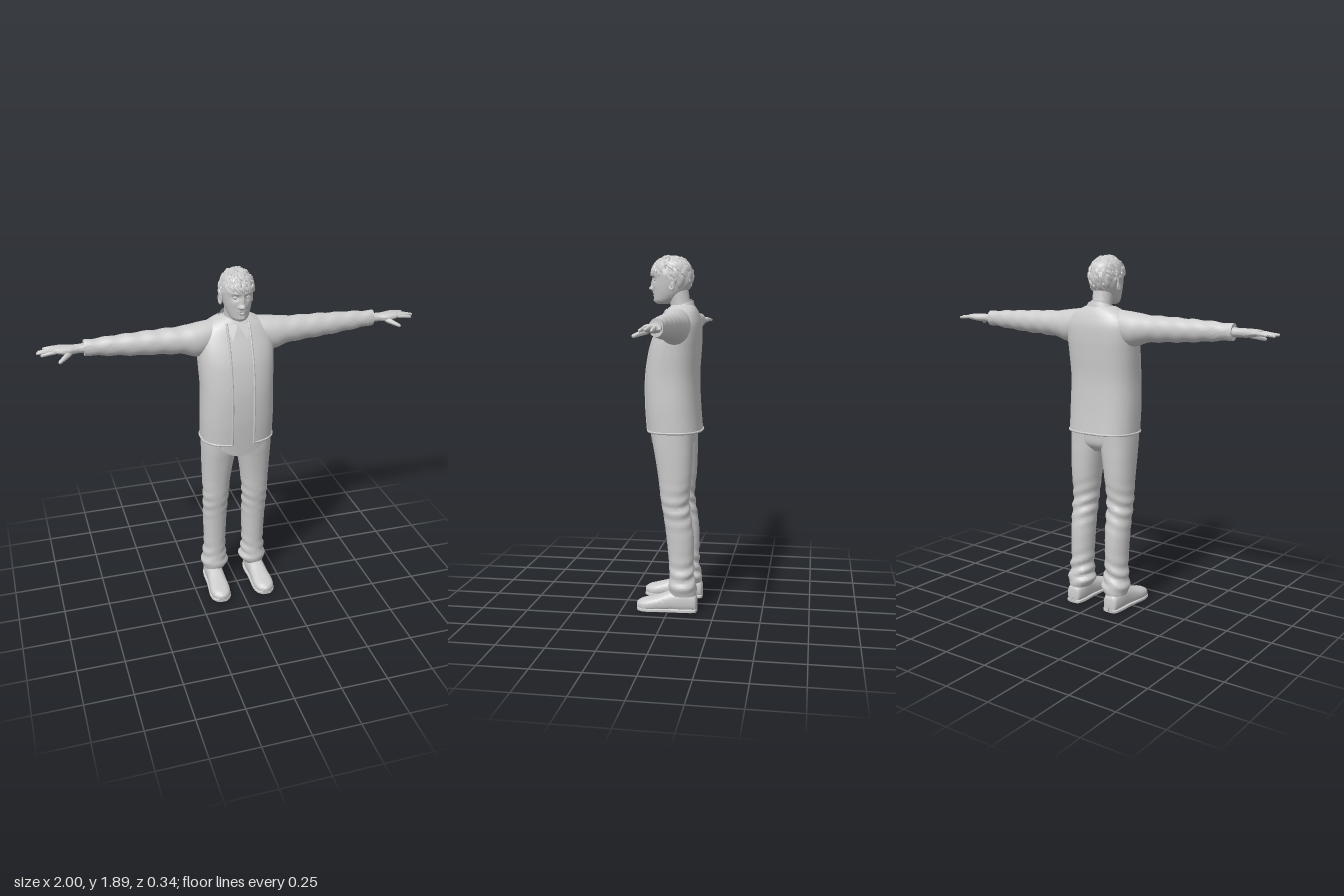
import * as THREE from 'three';
import { mergeVertices, toCreasedNormals } from 'three/addons/utils/BufferGeometryUtils.js';

const grey = new THREE.MeshStandardMaterial({ color: 0xcccccc, side: THREE.DoubleSide });
const bell = (d, s) => Math.exp(-(d * d) / (s * s));
const clamp = THREE.MathUtils.clamp;

// Smoothly interpolated cross-section: [height, centreX, centreZ, radiusX, radiusZ, squareness]
function sectionAt(secs, u) {
  const f = u * (secs.length - 1), i = Math.min(Math.floor(f), secs.length - 2), t = f - i;
  const at = k => secs[clamp(k, 0, secs.length - 1)];
  return secs[0].map((_, c) => {
    const a = at(i - 1)[c], b = at(i)[c], d = at(i + 1)[c], e = at(i + 2)[c];
    return b + 0.5 * t * (d - a + t * (2 * a - 5 * b + 4 * d - e + t * (3 * (b - d) + e - a)));
  });
}
const power = (v, n) => Math.sign(v) * Math.pow(Math.abs(v), 2 / n);
const onSection = ([y, cx, cz, rx, rz, n], a) =>
  new THREE.Vector3(cx + rx * power(Math.sin(a), n), y, cz + rz * power(Math.cos(a), n));
// Angle at which a front opening of half-width w begins
const openAngle = (s, w) => (w ? Math.asin(Math.min(1, Math.pow(w / s[3], s[5] / 2))) : 0);

function gridGeometry(rows, cols, point) {
  const pos = [], idx = [];
  for (let i = 0; i <= rows; i++) for (let j = 0; j <= cols; j++) {
    pos.push(...point(i, j).toArray());
    if (i < rows && j < cols) {
      const a = i * (cols + 1) + j, b = a + cols + 1;
      idx.push(a, a + 1, b + 1, a, b + 1, b);
    }
  }
  const g = new THREE.BufferGeometry();
  g.setAttribute('position', new THREE.Float32BufferAttribute(pos, 3));
  g.setIndex(idx);
  return g;
}

// Skin stretched over cross-sections, capped unless it has an opening
function loft(secs, { seg = 40, rows = 40, w = 0, cap = !w, warp } = {}) {
  const extra = cap ? 1 : 0;
  return gridGeometry(rows + 2 * extra, seg, (i, j) => {
    const s = sectionAt(secs, clamp((i - extra) / rows, 0, 1));
    const a0 = openAngle(s, w);
    const p = onSection(s, a0 + (2 * Math.PI - 2 * a0) * ((j % seg || (w ? j : 0)) / seg));
    if (cap && (i === 0 || i === rows + 2)) p.set(s[1], s[0], s[2]);
    if (warp) warp(p);
    return p;
  });
}

// Tapered round-ended rod between two points
function rod(a, b, r0, r1, flat = 1) {
  const A = new THREE.Vector3(...a), d = new THREE.Vector3(...b).sub(A), L = d.length();
  const prof = [[0, -r0 * 0.6], [r0 * 0.8, 0], [r0, L * 0.2], [(r0 + r1) / 2, L * 0.55], [r1, L - r1], [r1 * 0.7, L - r1 * 0.3], [0, L]];
  const g = new THREE.LatheGeometry(prof.map(p => new THREE.Vector2(...p)), 10);
  g.scale(1, 1, flat);
  g.applyQuaternion(new THREE.Quaternion().setFromUnitVectors(new THREE.Vector3(0, 1, 0), d.normalize()));
  return g.translate(A.x, A.y, A.z);
}

function mirrored(g) {
  const m = g.clone().scale(-1, 1, 1), ix = m.index.array;
  for (let i = 0; i < ix.length; i += 3) [ix[i], ix[i + 1]] = [ix[i + 1], ix[i]];
  return m;
}

export function createModel() {
  const model = new THREE.Group();
  const add = (name, g, crease = 1.0) => {
    g.deleteAttribute('uv');
    g.deleteAttribute('normal');
    const mesh = new THREE.Mesh(toCreasedNormals(mergeVertices(g, 1e-5), crease), grey);
    mesh.name = name;
    model.add(mesh);
  };
  const pair = (name, g, crease) => {
    add(name + 'Right', mirrored(g), crease);
    add(name + 'Left', g, crease);
  };

  // Jacket body, open down the front
  const jacket = [
    [0.968, 0, -0.02, 0.193, 0.144, 2.5], [1.1, 0, -0.01, 0.194, 0.143, 2.5], [1.25, 0, -0.007, 0.191, 0.14, 2.5],
    [1.38, 0, -0.02, 0.197, 0.134, 2.5], [1.46, 0, -0.034, 0.2, 0.124, 2.5], [1.53, 0, -0.048, 0.195, 0.108, 2.4],
    [1.58, 0, -0.053, 0.165, 0.09, 2.3], [1.61, 0, -0.055, 0.12, 0.074, 2.2], [1.628, 0, -0.056, 0.08, 0.06, 2]];
  const W = 0.058;
  add('jacketBody', loft(jacket, { seg: 72, rows: 60, w: W }));

  // Rolled edges along the hem and both front openings
  const edge = [], hem = [];
  for (let i = 0; i <= 24; i++) {
    const s = sectionAt(jacket, 0.85 * i / 24), h = sectionAt(jacket, 0), a0 = openAngle(h, W);
    edge.push(onSection(s, openAngle(s, W)));
    hem.push(onSection(h, a0 + (2 * Math.PI - 2 * a0) * i / 24));
  }
  const tube = pts => new THREE.TubeGeometry(new THREE.CatmullRomCurve3(pts), 60, 0.006, 8);
  pair('jacketFrontEdge', tube(edge));
  add('jacketHem', tube(hem));

  // Shirt under the jacket, with a rounded tail in front
  const shirt = jacket.map(([y, x, z, rx, rz, n]) => [y, x, z, rx - 0.012, rz - 0.012, n]);
  add('shirt', loft(shirt, {
    seg: 72, rows: 60, warp: p => {
      if (p.z < 0.03) return;
      const k = Math.max(0, 1 - (p.x / 0.145) ** 2) * clamp((1.1 - p.y) / 0.13, 0, 1);
      p.y -= 0.083 * k;
      p.z -= 0.012 * k;
    }
  }));

  // Collars, dropping towards the front
  const drop = p => { p.y -= 0.5 * (p.z + 0.11); };
  add('jacketCollar', loft([[1.585, 0, -0.045, 0.112, 0.08, 2], [1.625, 0, -0.046, 0.09, 0.072, 2],
    [1.652, 0, -0.046, 0.076, 0.066, 2]], { w: 0.05, rows: 12, warp: drop }));
  add('shirtCollar', loft([[1.6, 0, -0.04, 0.068, 0.068, 2], [1.662, 0, -0.045, 0.06, 0.06, 2]],
    { w: 0.008, rows: 8, warp: drop }));
  const corners = [[0.004, 1.592, 0.024], [0.038, 1.53, 0.068], [0.066, 1.585, 0.024], [0.058, 1.632, -0.035]].map(c => new THREE.Vector3(...c));
  pair('collarFlap', gridGeometry(1, 1, (i, j) => corners[i ? 3 * (1 - j) + 2 * j : j]));

  // Sleeves, lofted upright then laid along x
  const sleeve = [
    [0.06, -1.55, -0.055, 0.065, 0.055, 2], [0.13, -1.53, -0.047, 0.08, 0.072, 2], [0.2, -1.515, -0.043, 0.088, 0.078, 2],
    [0.28, -1.521, -0.041, 0.071, 0.069, 2], [0.4, -1.524, -0.043, 0.064, 0.06, 2], [0.5, -1.525, -0.045, 0.059, 0.055, 2],
    [0.62, -1.528, -0.047, 0.051, 0.045, 2], [0.72, -1.53, -0.049, 0.043, 0.038, 2], [0.768, -1.531, -0.05, 0.04, 0.033, 2]];
  const creases = p => {
    const k = 0.0022 * clamp((p.y - 0.18) * 8, 0, 1) * Math.sin(p.y * 62 + p.z * 30);
    p.x += k * Math.sign(p.x + 1.525);
  };
  pair('sleeve', loft(sleeve, { seg: 32, rows: 60, warp: creases }).rotateZ(-Math.PI / 2));

  // Hands: palm, four fingers and thumb
  pair('palm', loft([
    [0.75, -1.531, -0.05, 0.025, 0.028, 2], [0.8, -1.53, -0.05, 0.022, 0.028, 2], [0.835, -1.53, -0.048, 0.022, 0.037, 2.2],
    [0.87, -1.532, -0.052, 0.019, 0.044, 2.4], [0.9, -1.534, -0.057, 0.015, 0.042, 2.6], [0.915, -1.534, -0.058, 0.01, 0.038, 2.6]],
    { seg: 24, rows: 20 }).rotateZ(-Math.PI / 2));
  [[-0.026, -0.016, 0.982], [-0.047, -0.043, 1.0], [-0.068, -0.07, 0.992], [-0.088, -0.1, 0.965]].forEach(([z0, z1, x], i) =>
    pair('finger' + (i + 1), rod([0.895, 1.535, z0], [x, 1.524 + 0.004 * (i % 2), z1], 0.0105, 0.0075)));
  pair('thumb', rod([0.835, 1.522, -0.03], [0.9, 1.496, 0.032], 0.015, 0.009));

  // Trousers
  add('trouserSeat', loft([[0.86, 0, -0.025, 0.09, 0.06, 2.2], [0.9, 0, -0.022, 0.165, 0.098, 2.4],
    [0.95, 0, -0.016, 0.183, 0.112, 2.5], [1.0, 0, -0.015, 0.18, 0.115, 2.5]]));
  const leg = [
    [0.09, 0.118, -0.08, 0.058, 0.068, 2.1], [0.13, 0.113, -0.076, 0.076, 0.076, 2.1], [0.17, 0.115, -0.072, 0.068, 0.068, 2.1],
    [0.25, 0.113, -0.069, 0.061, 0.066, 2.1], [0.4, 0.113, -0.062, 0.064, 0.073, 2.1], [0.52, 0.113, -0.046, 0.067, 0.073, 2.1],
    [0.6, 0.112, -0.034, 0.07, 0.075, 2.1], [0.72, 0.108, -0.033, 0.077, 0.088, 2.2], [0.84, 0.101, -0.026, 0.087, 0.1, 2.3],
    [0.9, 0.097, -0.021, 0.092, 0.106, 2.3], [0.98, 0.095, -0.017, 0.094, 0.112, 2.3]];
  const folds = p => {
    const k = bell(p.y - 0.56, 0.1) + 1.3 * bell(p.y - 0.2, 0.08);
    const f = 0.0035 * k * Math.sin(p.y * 95 + p.x * 40);
    p.x += f * Math.sign(p.x - 0.113);
    p.z += p.z < -0.06 ? -f : 0;
  };
  pair('trouserLeg', loft(leg, { seg: 40, rows: 80, warp: folds }));

  // Shoes, lofted upright then laid along z
  const shoe = [
    [-0.155, 0.122, -0.035, 0.022, 0.03, 2.6], [-0.145, 0.122, -0.048, 0.04, 0.046, 2.6], [-0.09, 0.122, -0.06, 0.049, 0.06, 2.6],
    [-0.02, 0.124, -0.055, 0.048, 0.055, 2.5], [0.04, 0.126, -0.044, 0.052, 0.044, 2.5], [0.1, 0.128, -0.035, 0.056, 0.035, 2.6],
    [0.145, 0.129, -0.029, 0.046, 0.029, 2.6], [0.168, 0.129, -0.025, 0.022, 0.02, 2.4]];
  pair('shoe', loft(shoe, { seg: 32, rows: 36 }).rotateX(Math.PI / 2));
  const sole = shoe.map(([z, x, , rx]) => [z, x, -0.01, rx + 0.004, 0.01, 5]);
  pair('shoeSole', loft(sole, { seg: 24, rows: 36 }).rotateX(Math.PI / 2), 0.6);

  // Neck
  add('neck', loft([[1.55, 0, -0.05, 0.06, 0.058, 2], [1.62, 0, -0.047, 0.053, 0.054, 2], [1.67, 0, -0.036, 0.053, 0.056, 2], [1.72, 0, -0.025, 0.055, 0.06, 2]]));

  // Head, with features raised or sunk as soft bumps: [x, y, depth, width, height]
  const bumps = [
    [0, 1.713, 0.021, 0.012, 0.012], [0, 1.738, 0.012, 0.009, 0.026], [0.013, 1.71, 0.007, 0.008, 0.008],
    [0.031, 1.759, -0.011, 0.016, 0.011], [0.03, 1.781, 0.005, 0.022, 0.008], [0.04, 1.725, 0.003, 0.016, 0.018],
    [0, 1.69, 0.006, 0.019, 0.005], [0, 1.677, 0.007, 0.016, 0.005], [0, 1.6835, -0.004, 0.02, 0.0025], [0, 1.652, 0.006, 0.016, 0.01]];
  const face = p => {
    if (p.z < 0.03) return;
    const x = Math.abs(p.x), y = p.y;
    for (const [bx, by, d, sx, sy] of bumps) p.z += d * bell(x - bx, sx) * bell(y - by, sy);
  };
  add('head', loft([
    [1.632, 0, 0.05, 0.02, 0.026, 2.1], [1.645, 0, 0.04, 0.042, 0.05, 2.1], [1.675, 0, 0.018, 0.058, 0.077, 2.1],
    [1.715, 0, 0.003, 0.07, 0.095, 2.1], [1.76, 0, -0.001, 0.077, 0.102, 2.1], [1.8, 0, -0.002, 0.079, 0.105, 2.1],
    [1.84, 0, -0.003, 0.071, 0.092, 2.1], [1.868, 0, -0.003, 0.042, 0.056, 2]], { seg: 100, rows: 100, warp: face }), 1.5);
  pair('eye', new THREE.SphereGeometry(0.0115, 16, 12).translate(0.031, 1.759, 0.08));
  const ear = new THREE.TorusGeometry(0.018, 0.006, 8, 20).scale(0.75, 1.45, 1).rotateY(Math.PI / 2 - 0.3);
  pair('earRim', ear.translate(0.082, 1.733, -0.012));
  pair('ear', new THREE.SphereGeometry(1, 16, 12).scale(0.007, 0.026, 0.015).rotateY(-0.3).translate(0.079, 1.733, -0.012));

  // Hair cap: low at the nape, high over the forehead, with strand ripples
  const hairline = a => {
    const c = Math.cos(a);
    return (c > 0.35 ? 1.57 - 0.33 * (c - 0.35) : 1.57 + 0.68 * clamp((0.35 - c) / 0.9, 0, 1)) + 0.05 * Math.sin(a * 17) * Math.sin(a * 5);
  };
  const onHair = (a, t, out = 1) => new THREE.Vector3(0.086 * out * Math.sin(a) * Math.sin(t),
    1.775 + 0.108 * out * Math.cos(t), -0.001 + 0.112 * out * Math.cos(a) * Math.sin(t));
  add('hairCap', gridGeometry(40, 96, (i, j) => {
    const a = (j % 96) / 96 * 2 * Math.PI, t = hairline(a) * (1 - i / 40);
    const ripple = 0.018 * Math.sin(t) * Math.sin(a * 14 + 5 * t) + 0.012 * Math.sin(t) * Math.sin(a * 9 - 11 * t);
    return onHair(a, t, 1 + ripple);
  }));

  // Loose locks lying over the cap, and a swept fringe
  let seed = 7;
  const rnd = () => (seed = (seed * 16807) % 2147483647) / 2147483647;
  for (let k = 0; k < 130; k++) {
    const fringe = k < 34;
    const a = fringe ? (rnd() - 0.5) * 2.0 : rnd() * 2 * Math.PI;
    const t = fringe ? 0.95 + 0.3 * rnd() : 0.15 + rnd() * (hairline(a) - 0.45);
    const from = onHair(a, t, 0.99), to = onHair(a + 0.1 + 0.25 * (rnd() - 0.3), t + 0.22 + 0.12 * rnd(), 1.01 + 0.02 * rnd());
    add('hairLock', rod(from.toArray(), to.toArray(), 0.009, 0.003, 0.8));
  }
  return model;
}
